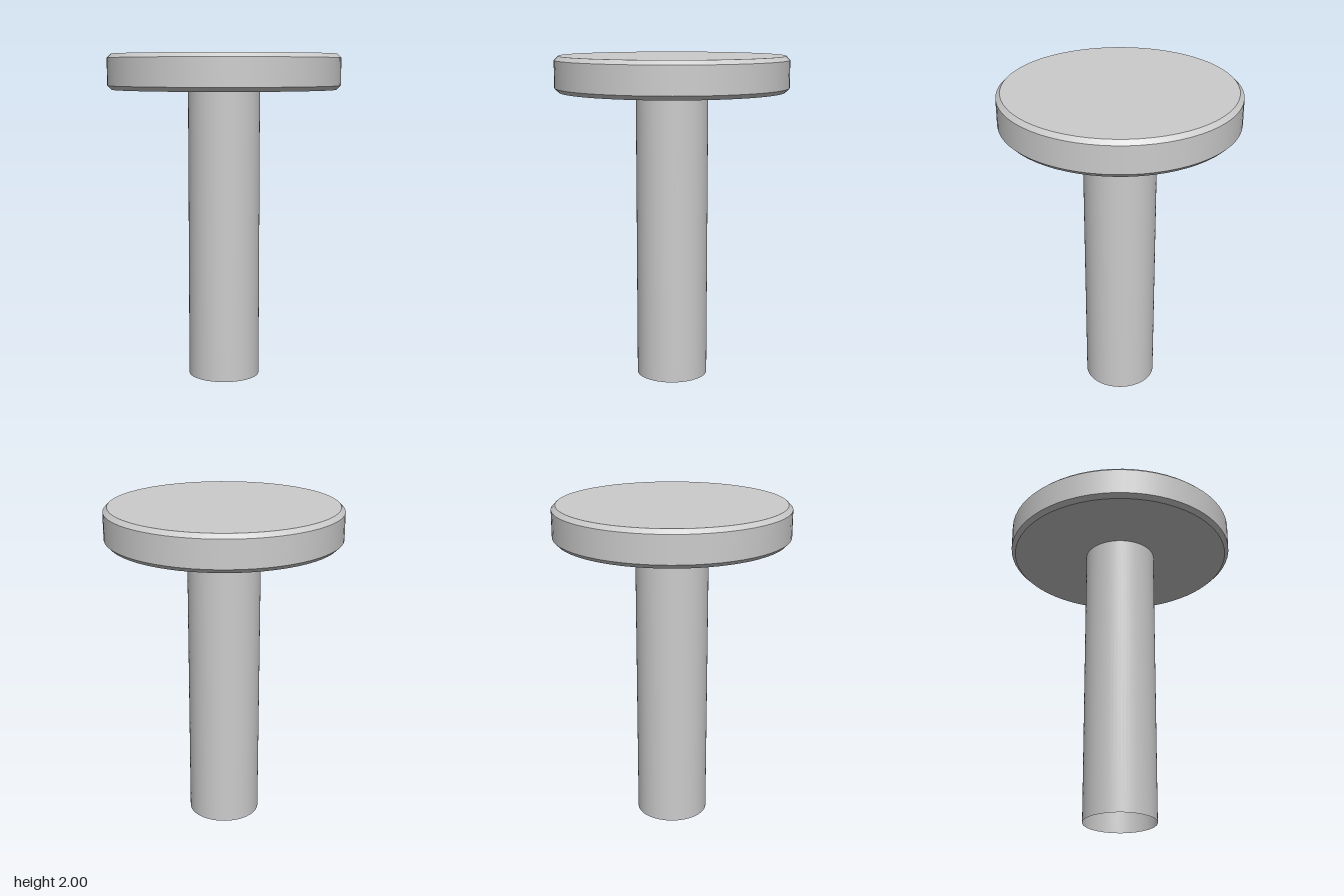
import * as THREE from 'three';
import { mergeGeometries } from 'three/addons/utils/BufferGeometryUtils.js';

const SEGMENTS = 64;

// Revolve each profile segment on its own so the edges between bands stay sharp
function sharpLathe(profile) {
  const bands = [];
  for (let i = 0; i < profile.length - 1; i++) {
    const pair = [profile[i], profile[i + 1]].map(([r, y]) => new THREE.Vector2(r, y));
    bands.push(new THREE.LatheGeometry(pair, SEGMENTS));
  }
  return mergeGeometries(bands);
}

export function createModel() {
  const group = new THREE.Group();
  group.name = 'pedestalTable';

  const radius = 0.71, bottom = 1.785, top = 2, bevel = 0.025;

  // Round top with chamfered upper and lower rims
  const tableTop = new THREE.Mesh(
    sharpLathe([
      [0, bottom],
      [radius - bevel, bottom],
      [radius, bottom + bevel],
      [radius, top - bevel],
      [radius - bevel, top],
      [0, top],
    ]),
    new THREE.MeshStandardMaterial({ color: 0xcccccc })
  );
  tableTop.name = 'tableTop';
  group.add(tableTop);

  // Hollow column, open at the foot
  const column = new THREE.Mesh(
    new THREE.CylinderGeometry(0.22, 0.22, bottom, SEGMENTS, 1, true),
    new THREE.MeshStandardMaterial({ color: 0xcccccc, side: THREE.DoubleSide })
  );
  column.name = 'column';
  column.position.y = bottom / 2;
  group.add(column);

  return group;
}
